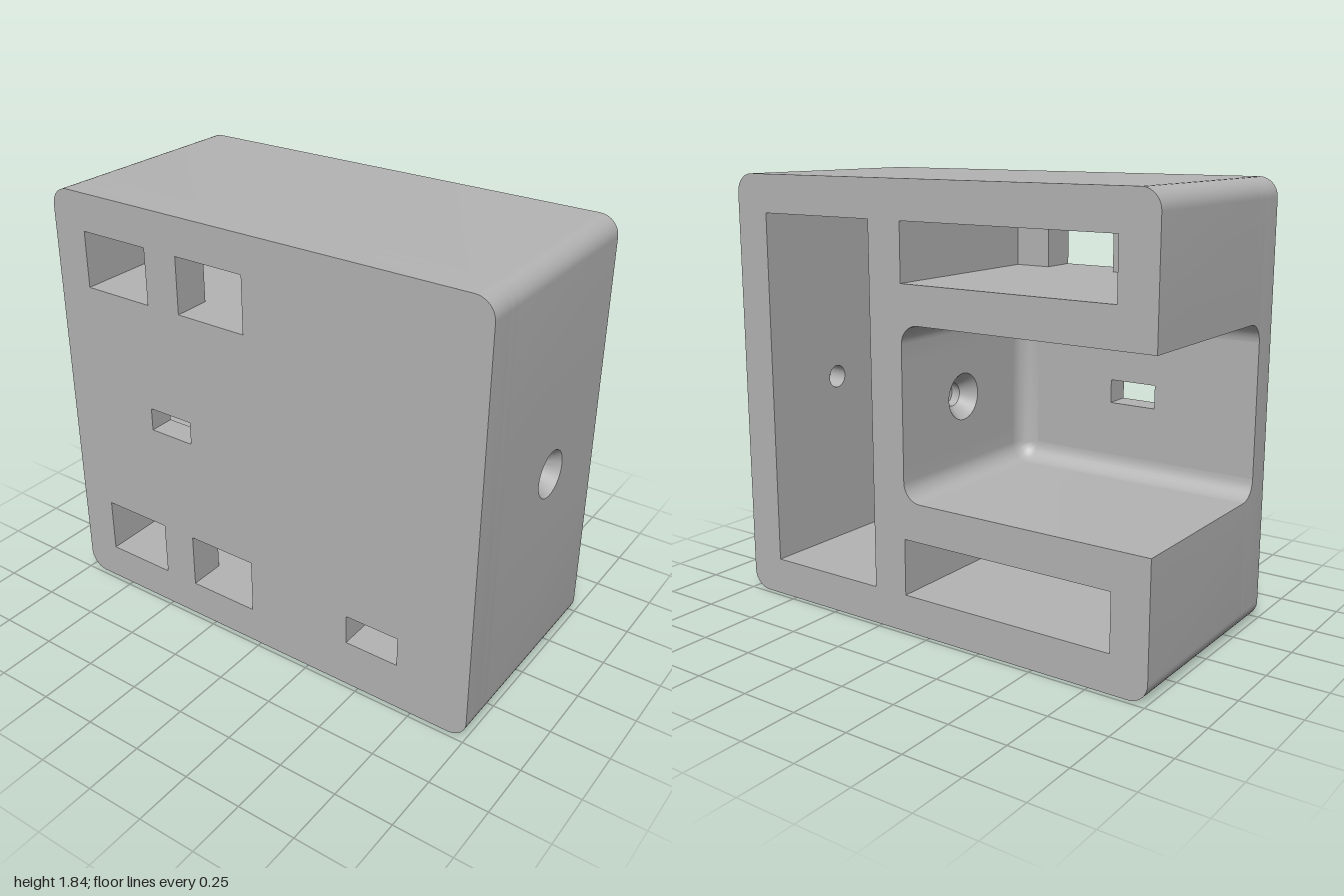
import * as THREE from 'three';
import { toCreasedNormals } from 'three/addons/utils/BufferGeometryUtils.js';

const H = 1.84, MID = H / 2, BACK = -0.48, FRONT = 0.48;
const R = 0.08;                    // corner and fillet radius
const SLOT_Z = 0.32;               // bottom of the rear slots
const FLOOR_Z = 0.37;              // bottom of the open pocket
const PANEL = 0.2;                 // half height of the drilled panels
const Q = Math.PI / 2;

const grey = new THREE.MeshStandardMaterial({ color: 0xb4b4b4, side: THREE.DoubleSide });
grey.name = 'grey';

const rect = (Type, x0, x1, y0, y1) => {
  const s = new Type();
  s.moveTo(x0, y0);
  s.lineTo(x1, y0);
  s.lineTo(x1, y1);
  s.lineTo(x0, y1);
  s.closePath();
  return s;
};

// points of an arc, centre (cx, cy), from angle a to angle b
const arc = (cx, cy, r, a, b, n = 10) => Array.from({ length: n + 1 }, (_, i) => {
  const t = a + (b - a) * i / n;
  return new THREE.Vector2(cx + r * Math.cos(t), cy + r * Math.sin(t));
});
const pt = (x, y) => new THREE.Vector2(x, y);

// upper edge of the block, right to left, and its mirror image
const topEdge = [...arc(1 - R, H - R, R, 0, Q), ...arc(-1 + R, H - R, R, Q, 2 * Q)];
const flip = (pts) => pts.map((p) => pt(p.x, H - p.y));

// edge of the open pocket, top to bottom, shrunk by an inset
const pocketEdge = (inset) => {
  const upper = [pt(-1, 1.28 - inset), ...arc(0.04, 1.2, R - inset, Q, 0)];
  return [...upper, ...flip(upper).reverse()];
};

// front windows: four at the arms, one in the pocket, one in the tall slot
const armWindows = () => [1.44, 0.16].flatMap((y) => [-0.84, -0.36].map((x) =>
  rect(THREE.Path, x, x + 0.32, y, y + 0.24)));
const slotWindow = () => rect(THREE.Path, 0.44, 0.68, 0.21, 0.34);
const pocketWindow = () => rect(THREE.Path, -0.545, -0.335, 0.87, 0.97);

export function createModel() {
  const model = new THREE.Group();
  const add = (name, geometry) => {
    const mesh = new THREE.Mesh(toCreasedNormals(geometry, 0.5), grey);
    mesh.name = name;
    model.add(mesh);
  };
  const slab = (name, pts, holes, z0, z1) => {
    const shape = new THREE.Shape(pts);
    shape.holes.push(...holes);
    const g = new THREE.ExtrudeGeometry(shape, { depth: z1 - z0, bevelEnabled: false });
    add(name, g.translate(0, 0, z0));
  };

  // front wall, and the layer behind it around the pocket
  const bottomEdge = flip(topEdge).reverse();
  slab('frontPlate', [...topEdge, ...bottomEdge],
    [...armWindows(), slotWindow(), pocketWindow()], FLOOR_Z, FRONT);
  slab('slotFloor', [...topEdge, ...pocketEdge(0), ...bottomEdge],
    [...armWindows(), slotWindow()], SLOT_Z, FLOOR_Z);

  // rear arms with their slots, mirrored about the middle height
  const cut = MID + PANEL;
  const half = [pt(0.84, cut), pt(1, cut), ...topEdge, pt(-1, 1.28),
    ...arc(0.04, 1.2, R, Q, 0), pt(0.12, cut), pt(0.28, cut), pt(0.28, 1.68), pt(0.84, 1.68)];
  slab('upperArm', half, [rect(THREE.Path, -0.84, 0.12, 1.44, 1.68)], BACK, SLOT_Z);
  slab('lowerArm', flip(half), [rect(THREE.Path, -0.84, 0.12, 0.16, 0.4)], BACK, SLOT_Z);

  // drilled panels with countersunk holes along x
  const holeU = 0.08;
  const panel = (name, x0, profile) => {
    const shape = rect(THREE.Shape, -SLOT_Z, -BACK, MID - PANEL, MID + PANEL);
    shape.holes.push(new THREE.Path(arc(holeU, MID, 0.1, 0, 4 * Q, 32).slice(0, -1)));
    const g = new THREE.ExtrudeGeometry(shape, { depth: 0.16, bevelEnabled: false });
    add(name, g.rotateY(Q).translate(x0, 0, 0));
    const bore = new THREE.LatheGeometry(profile.map(([r, d]) => pt(r, d)), 32);
    add(name + 'Bore', bore.rotateZ(-Q).translate(x0, MID, -holeU));
  };
  panel('sideWall', 0.84, [[0.1, 0], [0.05, 0], [0.05, 0.09], [0.1, 0.16]]);
  panel('divider', 0.12, [[0.1, 0], [0.05, 0.06], [0.05, 0.1], [0.1, 0.16]]);

  // rounded fillet where the pocket walls meet its floor
  const steps = 8, positions = [], index = [];
  let n = 0;
  for (let j = 0; j <= steps; j++) {
    const a = Q * j / steps;
    const row = pocketEdge(R * (1 - Math.cos(a)));
    n = row.length;
    row.forEach((p) => positions.push(p.x, p.y, FLOOR_Z - R + R * Math.sin(a)));
  }
  for (let j = 0; j < steps; j++) {
    for (let i = 0; i < n - 1; i++) {
      const a = j * n + i, b = a + n;
      index.push(a, a + 1, b, a + 1, b + 1, b);
    }
  }
  const fillet = new THREE.BufferGeometry();
  fillet.setAttribute('position', new THREE.Float32BufferAttribute(positions, 3));
  fillet.setIndex(index);
  // orient the strip toward the open pocket
  const v = [0, 1, n].map((k) => new THREE.Vector3().fromArray(positions, (k + 3 * n) * 3));
  const normal = v[1].clone().sub(v[0]).cross(v[2].clone().sub(v[0]));
  if (normal.z > 0) fillet.setIndex(index.reverse());
  fillet.computeVertexNormals();
  add('pocketFillet', fillet);

  // small end faces of the fillet on the open side
  const section = [pt(FLOOR_Z, 1.28), ...arc(FLOOR_Z - R, 1.2, R, 0, Q)];
  [section, flip(section)].forEach((pts, i) => {
    const g = new THREE.ShapeGeometry(new THREE.Shape(pts));
    add(i ? 'lowerFilletEnd' : 'upperFilletEnd', g.rotateY(-Q).translate(-1, 0, 0));
  });

  return model;
}
